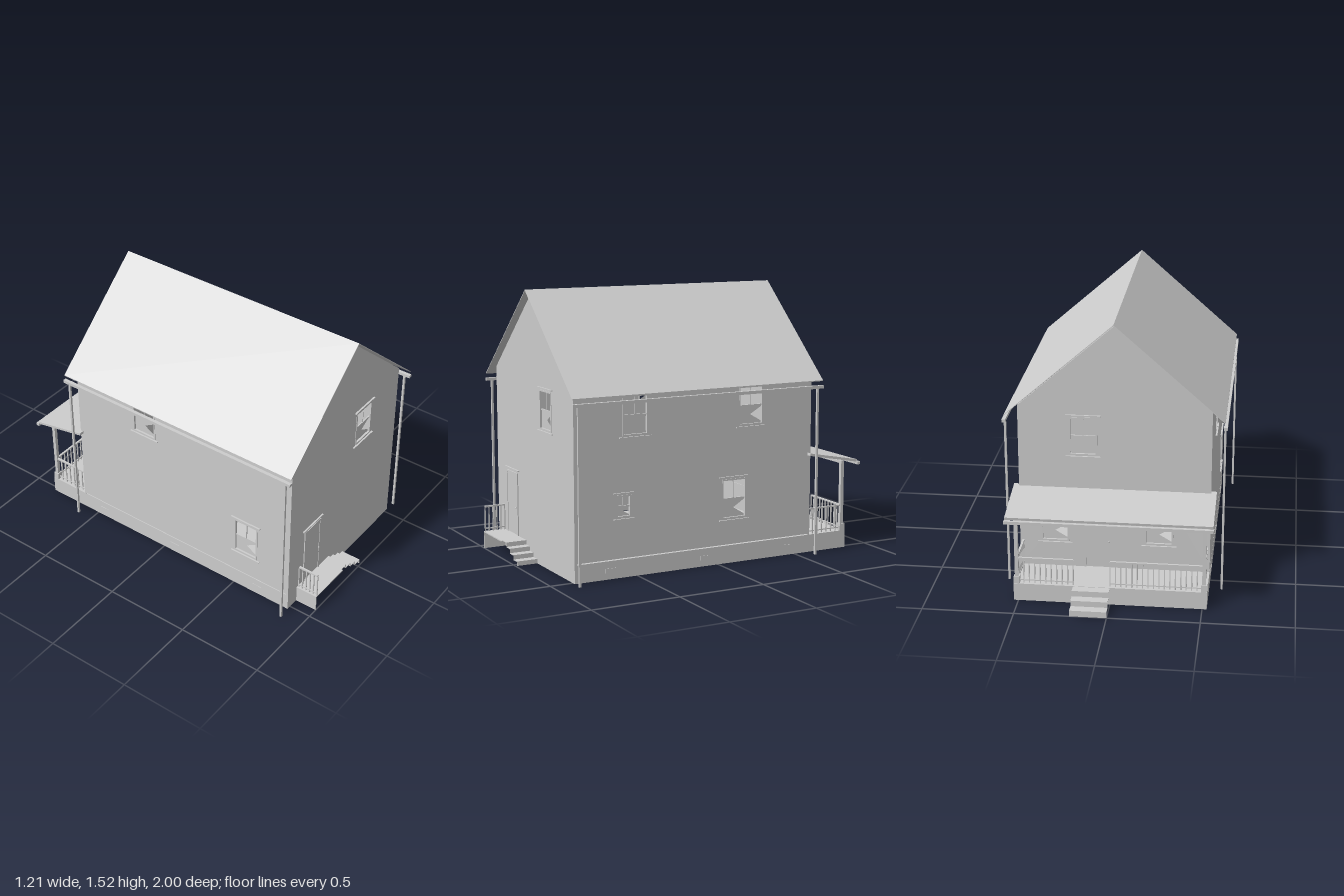
import * as THREE from 'three';

const plaster = new THREE.MeshStandardMaterial({ color: 0xcccccc, side: THREE.DoubleSide });
plaster.name = 'pale grey';

function add(parent, name, geometry) {
  const mesh = new THREE.Mesh(geometry, plaster);
  mesh.name = name;
  parent.add(mesh);
  return mesh;
}

// Box given by its limits on each axis
function box(parent, name, x0, x1, y0, y1, z0, z1) {
  const m = add(parent, name, new THREE.BoxGeometry(x1 - x0, y1 - y0, z1 - z0));
  m.position.set((x0 + x1) / 2, (y0 + y1) / 2, (z0 + z1) / 2);
  return m;
}

const points = (list) => list.map(([x, y]) => new THREE.Vector2(x, y));
const rect = (cx, w, y0, y1) =>
  points([[cx - w / 2, y0], [cx + w / 2, y0], [cx + w / 2, y1], [cx - w / 2, y1]]);

function extrude(outline, holes, depth) {
  const shape = new THREE.Shape(outline);
  holes.forEach((h) => shape.holes.push(new THREE.Path(h)));
  return new THREE.ExtrudeGeometry(shape, { depth, bevelEnabled: false });
}

// Sash window with a broken lower pane; the wall's outer face is local z = 0
function addWindow(wall, { x, y0, y1, w }) {
  const g = new THREE.Group();
  g.name = 'window';
  wall.add(g);
  const t = 0.009, mid = (y0 + y1) / 2, inner = w - 2 * t;
  const frame = add(g, 'windowFrame',
    extrude(rect(x, w, y0, y1), [rect(x, inner, y0 + t, y1 - t)], 0.016));
  frame.position.z = -0.013;
  box(g, 'meetingRail', x - inner / 2, x + inner / 2, mid - 0.004, mid + 0.004, -0.011, -0.003);
  box(g, 'muntin', x - 0.002, x + 0.002, mid, y1 - t, -0.01, -0.005);
  box(g, 'lintel', x - w / 2 - 0.018, x + w / 2 + 0.018, y1 + 0.008, y1 + 0.014, -0.005, 0.01);
  box(g, 'sill', x - w / 2 - 0.018, x + w / 2 + 0.018, y0 - 0.01, y0 - 0.004, -0.005, 0.01);
  const l = x - inner / 2, r = x + inner / 2, b = y0 + t, h = mid - b;
  const glass = add(g, 'brokenGlass', new THREE.ShapeGeometry(new THREE.Shape(points(
    [[l, b], [r, b], [r, b + h * 0.1], [x, b + h * 0.5], [r, b + h * 0.9], [r, mid], [l, mid]]))));
  glass.position.z = -0.009;
}

// Wall sheet with window openings
function addWall(parent, name, outline, windows) {
  const g = new THREE.Group();
  g.name = name;
  parent.add(g);
  const holes = windows.map((o) => rect(o.x, o.w - 0.006, o.y0 + 0.003, o.y1 - 0.003));
  add(g, 'wallPanel', extrude(outline, holes, 0.012)).position.z = -0.012;
  windows.forEach((o) => addWindow(g, o));
  return g;
}

function addDoor(wall, x, w, y0, y1) {
  add(wall, 'doorFrame', extrude(rect(x, w, y0, y1), [rect(x, w - 0.018, y0, y1 - 0.009)], 0.006));
  box(wall, 'door', x - w / 2 + 0.009, x + w / 2 - 0.009, y0 + 0.004, y1 - 0.01, 0, 0.003);
  box(wall, 'doorLintel', x - w / 2 - 0.018, x + w / 2 + 0.018, y1 + 0.013, y1 + 0.019, 0, 0.01);
  const knob = add(wall, 'doorKnob', new THREE.SphereGeometry(0.005, 8, 6));
  knob.position.set(x + w / 2 - 0.017, y0 + 0.16, 0.009);
}

// Railing along local x from 0 to length
function addRailing(parent, x, z, length, turn, gap) {
  const g = new THREE.Group();
  g.name = 'railing';
  g.position.set(x, 0, z);
  g.rotation.y = turn;
  parent.add(g);
  box(g, 'topRail', 0, length, 0.242, 0.25, -0.006, 0.006);
  box(g, 'bottomRail', 0, length, 0.114, 0.12, -0.004, 0.004);
  const n = Math.round(length / gap);
  for (let i = 0; i <= n; i++) {
    const u = (i / n) * length;
    box(g, 'baluster', u - 0.003, u + 0.003, 0.1, 0.245, -0.003, 0.003);
  }
  return g;
}

// Folded stair descending along +x, made of thin treads and risers
function addStairs(parent, name, tops, run, width) {
  const g = new THREE.Group();
  g.name = name;
  parent.add(g);
  const t = 0.004;
  tops.forEach((y, i) => {
    const next = i + 1 < tops.length ? tops[i + 1] : 0;
    box(g, 'tread', i * run, (i + 1) * run, y - t, y, 0, width);
    box(g, 'riser', (i + 1) * run - t, (i + 1) * run, next, y - t, 0, width);
  });
  return g;
}

export function createModel() {
  const house = new THREE.Group();
  house.name = 'house';
  const W = 0.525, F = 0.87, B = -0.6, P = -0.845, midZ = (F + B) / 2, half = (F - B) / 2;

  // Open-bottomed foundation, floor and porch base
  const base = new THREE.Group();
  base.name = 'foundation';
  house.add(base);
  box(base, 'groundFloor', -W, W, 0.09, 0.1, B, F);
  box(base, 'foundationFront', -W, W, 0, 0.1, F - 0.008, F);
  box(base, 'foundationBack', -W, W, 0, 0.1, B, B + 0.008);
  box(base, 'porchFloor', -W, W, 0.09, 0.1, P, B);
  box(base, 'porchSkirt', -W, W, 0, 0.1, P, P + 0.008);
  for (const s of [-1, 1]) {
    box(base, 'foundationSide', s * W - 0.004, s * W + 0.004, 0, 0.1, P, F).position.x = s * (W - 0.004);
    for (const z of [0.66, 0.08, -0.45])
      box(base, 'vent', s * W - 0.003, s * W + 0.003, 0.035, 0.06, z - 0.03, z + 0.03);
  }

  // Walls
  const gable = points([[-W, 0.1], [W, 0.1], [W, 1.04], [0, 1.5], [-W, 1.04]]);
  const side = rect(0, 2 * half, 0.106, 1.035);
  const upper = { y0: 0.765, y1: 0.984, w: 0.155 };
  const lower = { y0: 0.25, y1: 0.475, w: 0.155 };
  const front = addWall(house, 'frontWall', gable, [{ x: 0.17, ...upper }]);
  front.position.z = F;
  addDoor(front, -0.305, 0.155, 0.102, 0.462);
  const back = addWall(house, 'backWall', gable,
    [{ x: -0.17, ...upper }, { x: -0.33, ...lower }, { x: 0.245, ...lower }]);
  back.position.z = B;
  back.rotation.y = Math.PI;
  addDoor(back, -0.09, 0.155, 0.102, 0.462);
  const left = addWall(house, 'leftWall', side, [
    { x: midZ - 0.51, ...upper }, { x: midZ + 0.205, ...upper },
    { x: midZ + 0.1, ...lower }, { x: midZ - 0.58, y0: 0.327, y1: 0.45, w: 0.088 }]);
  left.position.set(W, 0, midZ);
  left.rotation.y = Math.PI / 2;
  const right = addWall(house, 'rightWall', side,
    [{ x: -0.12 - midZ, ...upper }, { x: 0.58 - midZ, ...lower }]);
  right.position.set(-W, 0, midZ);
  right.rotation.y = -Math.PI / 2;

  // Thin main roof
  const roofLine = points([[-0.594, 0.995], [0, 1.516], [0.594, 0.995], [0.594, 0.99], [0, 1.511], [-0.594, 0.99]]);
  add(house, 'mainRoof', extrude(roofLine, [], 1.54)).position.z = -0.632;

  // Gutters and downspouts
  for (const s of [-1, 1]) {
    box(house, 'gutter', -0.01, 0.01, 0.95, 0.967, -0.632, 0.908).position.x = s * 0.596;
    for (const z of [0.872, -0.597])
      box(house, 'downspout', s * 0.593 - 0.006, s * 0.593 + 0.006, 0, 0.952, z - 0.006, z + 0.006);
  }

  // Back porch
  const porch = new THREE.Group();
  porch.name = 'backPorch';
  house.add(porch);
  const roof = add(porch, 'porchRoof', new THREE.BoxGeometry(1.11, 0.014, 0.325));
  roof.position.set(0, 0.539, -0.74);
  roof.rotation.x = -0.19;
  box(porch, 'porchGutter', -0.557, 0.557, 0.485, 0.502, -0.922, -0.902);
  box(porch, 'porchBeam', -0.52, 0.52, 0.492, 0.508, -0.833, -0.817);
  for (const s of [-1, 1]) {
    const x = s * 0.508;
    box(porch, 'porchPost', x - 0.01, x + 0.01, 0.1, 0.5, -0.837, -0.817);
    box(porch, 'postFoot', x - 0.016, x + 0.016, 0.1, 0.14, -0.843, -0.811);
    addRailing(porch, x, B, 0.22, Math.PI / 2, 0.03);
  }
  addRailing(porch, -0.5, -0.827, 0.5, 0, 0.03);
  addRailing(porch, 0.2, -0.827, 0.3, 0, 0.03);
  const backSteps = addStairs(porch, 'backSteps', [0.098, 0.066, 0.034], 0.0517, 0.2);
  backSteps.rotation.y = Math.PI / 2;
  backSteps.position.set(0, 0, P);

  // Front landing with side skirt, rail and steps
  const landing = new THREE.Group();
  landing.name = 'frontLanding';
  house.add(landing);
  box(landing, 'landingFloor', -0.44, -0.17, 0.094, 0.1, F, 1);
  box(landing, 'landingSkirt', -0.44, -0.435, 0, 0.094, F, 1);
  addRailing(landing, -0.427, 0.995, 0.12, Math.PI / 2, 0.024);
  const frontSteps = addStairs(landing, 'frontSteps', [0.1, 0.075, 0.05, 0.025], 0.05, 0.12);
  frontSteps.position.set(-0.17, 0, F);

  return house;
}
